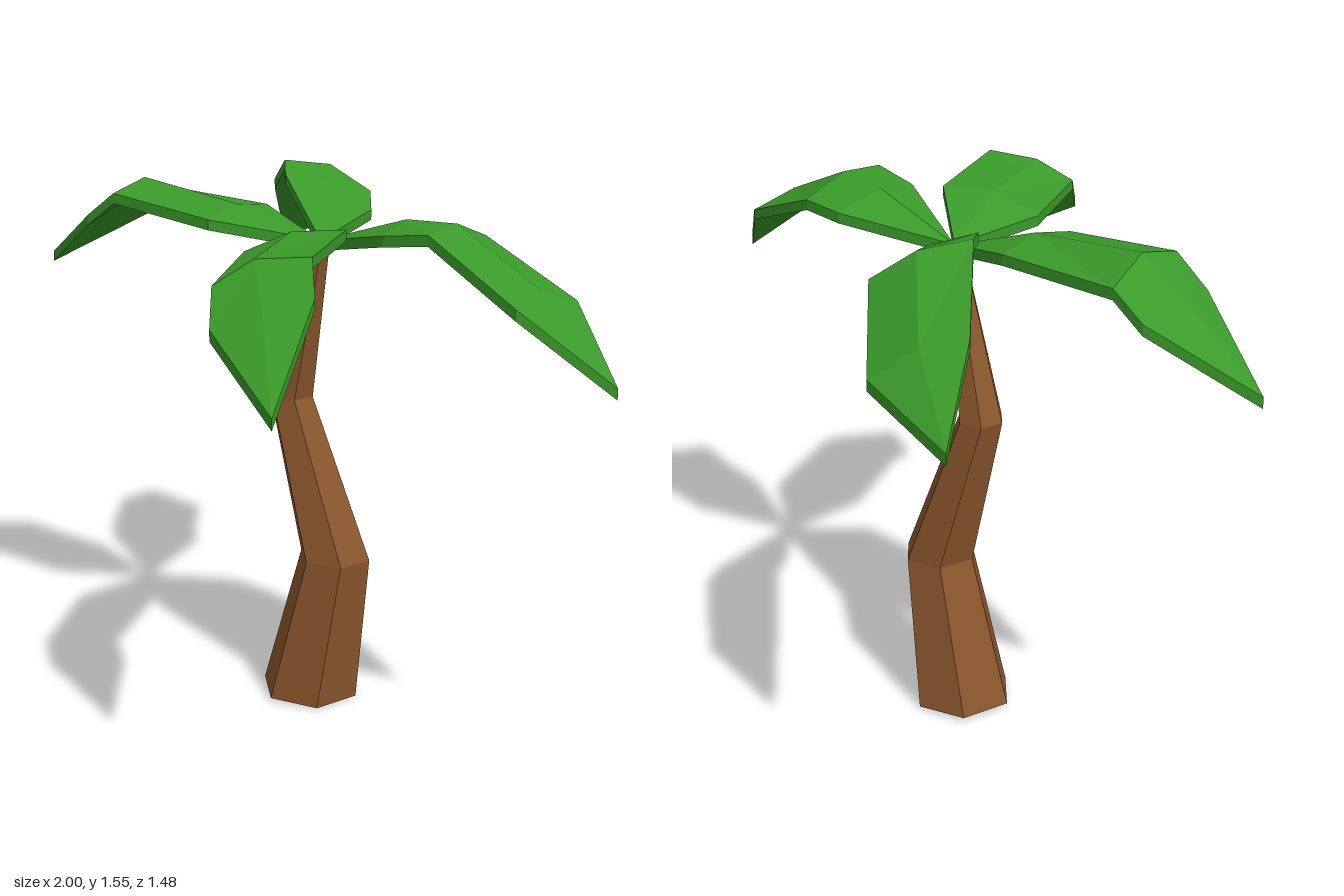
import * as THREE from 'three';

const bark = new THREE.MeshStandardMaterial({ color: 0x8b572d, flatShading: true });
const leaf = new THREE.MeshStandardMaterial({ color: 0x3a9a2a, flatShading: true });

// Skins a list of rings (arrays of Vector3) and closes both ends.
function loft(rings) {
  const pos = [];
  const tri = (a, b, c) => {
    const area = b.clone().sub(a).cross(c.clone().sub(a)).length();
    if (area > 1e-7) for (const p of [a, b, c]) pos.push(p.x, p.y, p.z);
  };
  const n = rings[0].length;
  for (let i = 0; i < rings.length - 1; i++) {
    for (let j = 0; j < n; j++) {
      const k = (j + 1) % n;
      const a = rings[i][j], b = rings[i][k], c = rings[i + 1][k], d = rings[i + 1][j];
      tri(a, b, c);
      tri(a, c, d);
    }
  }
  const first = rings[0], last = rings[rings.length - 1];
  for (let k = 1; k < n - 1; k++) {
    tri(first[0], first[k + 1], first[k]);
    tri(last[0], last[k], last[k + 1]);
  }
  const geo = new THREE.BufferGeometry();
  geo.setAttribute('position', new THREE.Float32BufferAttribute(pos, 3));
  geo.computeVertexNormals();
  return geo;
}

// Six-sided trunk ring; tilt leans the cut sideways.
function trunkRing([x, y, z, r, tilt]) {
  return Array.from({ length: 6 }, (_, i) => {
    const a = THREE.MathUtils.degToRad(-10 + i * 60);
    const dx = r * Math.sin(a);
    return new THREE.Vector3(x + dx, y + tilt * dx, z + r * Math.cos(a));
  });
}

// Thin frond section: left edge, midrib, right edge on top, and the same below.
const THICK = 0.03;
function frondRing(points) {
  const top = points.map((p) => new THREE.Vector3(...p));
  const under = top.map((p) => new THREE.Vector3(p.x, p.y - THICK, p.z)).reverse();
  return [...top, ...under];
}

const CROWN = [0, 1.395, -0.07];

// Each frond: sections of [left, midrib, right], then the tip.
const fronds = {
  leftFrond: {
    sections: [
      [[0.31, 1.44, -0.225], [0.29, 1.487, -0.09], [0.32, 1.465, 0.045]],
      [[0.45, 1.445, -0.23], [0.46, 1.497, -0.09], [0.47, 1.487, 0.045]],
      [[0.78, 1.325, -0.185], [0.76, 1.37, -0.05], [0.78, 1.35, 0.087]],
    ],
    tip: [1, 1.16, -0.05],
  },
  rightFrond: {
    sections: [
      [[-0.24, 1.45, 0.13], [-0.24, 1.475, 0], [-0.27, 1.455, -0.14]],
      [[-0.6, 1.485, 0.155], [-0.61, 1.515, 0.02], [-0.65, 1.465, -0.12]],
      [[-0.71, 1.41, 0.157], [-0.77, 1.42, 0.03], [-0.75, 1.4, -0.115]],
    ],
    tip: [-1, 1.245, 0.05],
  },
  frontFrond: {
    sections: [
      [[0.225, 1.475, 0.08], [0.11, 1.468, 0.17], [0, 1.41, 0.235]],
      [[0.4, 1.477, 0.41], [0.27, 1.465, 0.48], [0.2, 1.4, 0.56]],
      [[0.48, 1.4, 0.49], [0.38, 1.37, 0.57], [0.27, 1.315, 0.64]],
    ],
    tip: [0.565, 1.17, 0.735],
  },
  backFrond: {
    sections: [
      [[-0.27, 1.532, -0.22], [-0.19, 1.5, -0.32], [-0.11, 1.42, -0.42]],
      [[-0.35, 1.555, -0.305], [-0.28, 1.535, -0.43], [-0.19, 1.455, -0.51]],
      [[-0.62, 1.44, -0.55], [-0.53, 1.41, -0.63], [-0.44, 1.325, -0.715]],
    ],
    tip: [-0.757, 1.255, -0.74],
  },
};

export function createModel() {
  const palm = new THREE.Group();
  palm.name = 'palmTree';

  // Crooked tapering trunk: x, y, z, radius, tilt
  const trunk = new THREE.Mesh(loft([
    [-0.06, 0.012, -0.095, 0.148, -0.05],
    [0.03, 0.457, -0.105, 0.107, -0.02],
    [-0.12, 0.925, -0.08, 0.067, 0],
    [0, 1.385, -0.07, 0.028, 0],
  ].map(trunkRing)), bark);
  trunk.name = 'trunk';
  palm.add(trunk);

  // Drooping fronds, all springing from the crown and ending in a point
  const crown = new THREE.Group();
  crown.name = 'crown';
  for (const [name, { sections, tip }] of Object.entries(fronds)) {
    const stations = [[CROWN, CROWN, CROWN], ...sections, [tip, tip, tip]];
    const frond = new THREE.Mesh(loft(stations.map(frondRing)), leaf);
    frond.name = name;
    crown.add(frond);
  }
  palm.add(crown);
  return palm;
}
